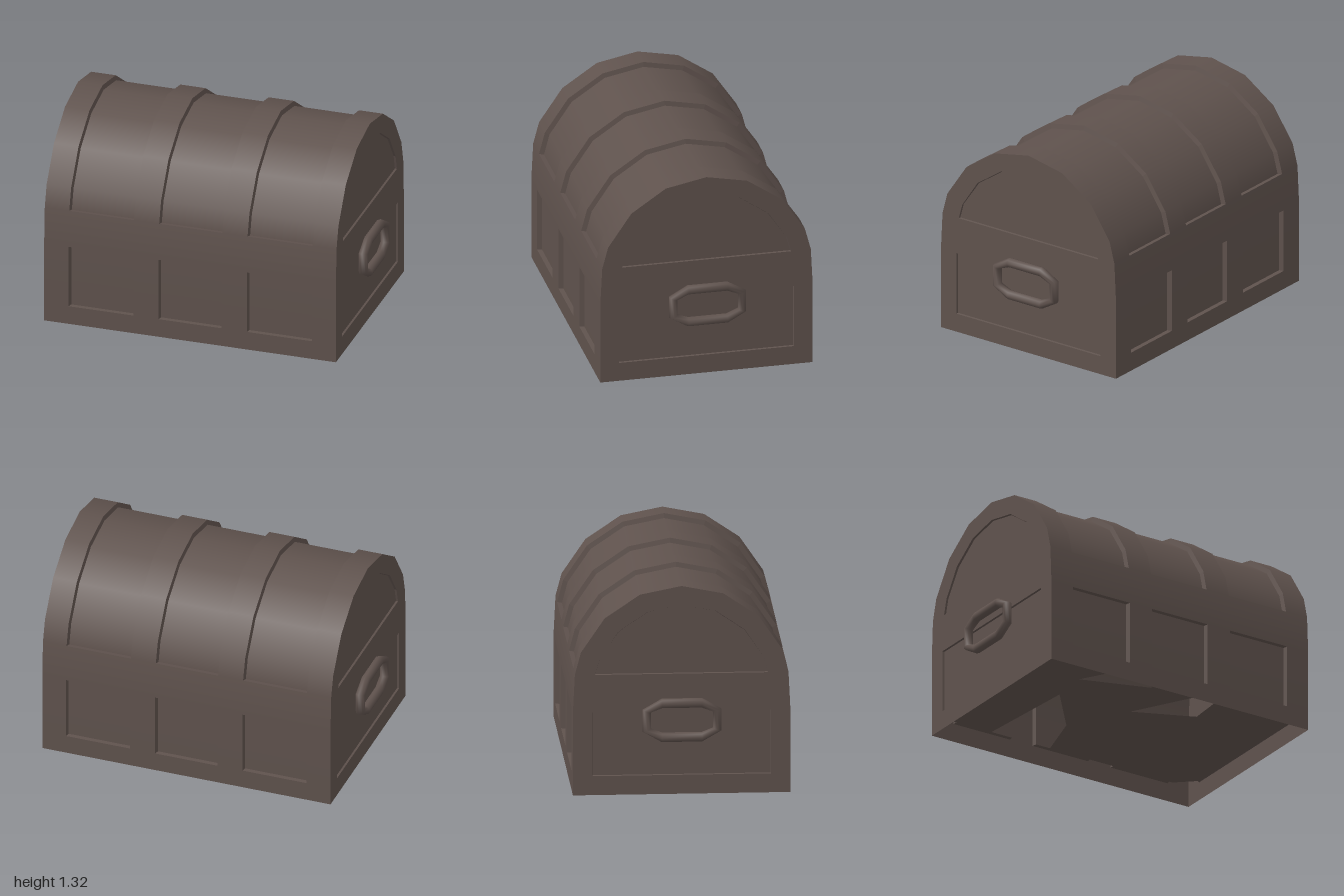
import * as THREE from 'three';

const RIGHT = -0.945, LEFT = 0.937; // x of the two end walls
const DEPTH = 0.03;      // depth of the long-side panels
const END_DEPTH = 0.012; // depth of the end-wall panels
const SLANT = 0.007;     // slant of the long-side recess walls
const END_SLANT = 0.003; // slant of the end-wall recess walls

// Cross-section [z, y] from the front foot over the lid to the back foot
const half = [[0.668, 0], [0.668, 0.12], [0.668, 0.525], [0.656, 0.765],
  [0.619, 0.905], [0.473, 1.12], [0.256, 1.267]];
const profile = [...half, [0, 1.318], ...half.map(([z, y]) => [-z, y]).reverse()];

// Outward normal [z, y] at each profile point
const normals = profile.map((p, i) => {
  let nz = 0, ny = 0;
  for (const j of [i - 1, i]) {
    if (j < 0 || j + 1 >= profile.length) continue;
    const dz = profile[j + 1][0] - profile[j][0], dy = profile[j + 1][1] - profile[j][1];
    const l = Math.hypot(dz, dy);
    nz += dy / l;
    ny -= dz / l;
  }
  const l = Math.hypot(nz, ny);
  return [nz / l, ny / l];
});

function buildGeometry(positions, index, norms) {
  const g = new THREE.BufferGeometry();
  g.setAttribute('position', new THREE.Float32BufferAttribute(positions, 3));
  g.setIndex(index);
  if (norms) g.setAttribute('normal', new THREE.Float32BufferAttribute(norms, 3));
  else g.computeVertexNormals();
  return g;
}

// Smooth strip following profile points i0..i1 between x0 and x1, sunk by d
function skin(i0, i1, x0, x1, d = 0) {
  const pos = [], nor = [], idx = [];
  for (let i = i0; i <= i1; i++) {
    const [nz, ny] = normals[i];
    for (const x of [x0, x1]) {
      pos.push(x, profile[i][1] - ny * d, profile[i][0] - nz * d);
      nor.push(0, ny, nz);
    }
    if (i < i1) {
      const a = (i - i0) * 2;
      idx.push(a, a + 1, a + 3, a, a + 3, a + 2);
    }
  }
  return buildGeometry(pos, idx, nor);
}

// Flat-shaded walls joining a closed outer loop to a sunken inner loop
function recessWalls(outer, inner) {
  const pos = [], idx = [];
  outer.forEach((a, i) => {
    const j = (i + 1) % outer.length, k = pos.length / 3;
    pos.push(...a, ...outer[j], ...inner[j], ...inner[i]);
    idx.push(k, k + 1, k + 2, k, k + 2, k + 3);
  });
  return buildGeometry(pos, idx);
}

// Counter-clockwise loop around a panel lying on the profile
function panelLoop(i0, i1, x0, x1, d) {
  const side = x => profile.slice(i0, i1 + 1).map(([z, y], k) => {
    const [nz, ny] = normals[i0 + k];
    return [x, y - ny * d, z - nz * d];
  });
  return [...side(x1), ...side(x0).reverse()];
}

const toShape = pts => new THREE.Shape(pts.map(([x, y]) => new THREE.Vector2(x, y)));

export function createModel() {
  const model = new THREE.Group();
  model.name = 'chest';
  const wood = new THREE.MeshStandardMaterial({ color: 0x5f524d, side: THREE.DoubleSide });
  wood.name = 'dark brown wood';
  const add = (parent, name, geometry) => {
    const mesh = new THREE.Mesh(geometry, wood);
    mesh.name = name;
    parent.add(mesh);
    return mesh;
  };

  // Raised bands running up the front, over the lid and down the back
  const bands = [[RIGHT, -0.787], [-0.37, -0.207], [0.2, 0.363], [0.783, LEFT]];
  const last = profile.length - 1;
  bands.forEach(([a, b]) => add(model, 'band', skin(0, last, a, b)));

  // Rails and recessed panels between the bands
  for (let k = 0; k < 3; k++) {
    const x0 = bands[k][1], x1 = bands[k + 1][0];
    for (const [a, b] of [[0, 1], [2, 3], [11, 12], [13, 14]]) add(model, 'rail', skin(a, b, x0, x1));
    for (const [name, a, b] of [['frontPanel', 1, 2], ['lidPanel', 3, 11], ['backPanel', 12, 13]]) {
      add(model, name, skin(a, b, x0 + SLANT, x1 - SLANT, DEPTH));
      add(model, name + 'Recess', recessWalls(
        panelLoop(a, b, x0, x1, 0), panelLoop(a, b, x0 + SLANT, x1 - SLANT, DEPTH)));
    }
  }

  // End walls, each with a rectangular and an arched recess
  const square = [[-0.55, 0.12], [0.55, 0.12], [0.55, 0.525], [-0.55, 0.525]];
  const archSide = [[0.532, 0.762], [0.505, 0.86], [0.388, 1.035], [0.21, 1.157]];
  const arch = [...archSide, [0, 1.198], ...archSide.map(([x, y]) => [-x, y]).reverse()];
  const shrink = (pts, cy) => pts.map(([x, y]) =>
    [x - Math.sign(x) * END_SLANT, y - Math.sign(y - cy) * END_SLANT]);

  // Handle outline: matching inner and outer corners
  const ringPoints = (w, h, cw, ch) => [[w, -h], [w, h], [cw, ch], [-cw, ch],
    [-w, h], [-w, -h], [-cw, -ch], [cw, -ch]];
  const ringOuter = ringPoints(0.242, 0.07, 0.124, 0.138);
  const ringInner = ringPoints(0.19, 0.05, 0.122, 0.077);

  function handleGeometry() {
    const pos = [], idx = [], n = 8, m = 8;
    for (let i = 0; i < n; i++) {
      for (let j = 0; j < m; j++) {
        const t = j / m * Math.PI * 2, c = 0.5 + Math.cos(t) / 2;
        const [ox, oy] = ringOuter[i], [ix, iy] = ringInner[i];
        pos.push(ix + (ox - ix) * c, 0.475 + iy + (oy - iy) * c, 0.028 + 0.03 * Math.sin(t));
        const i2 = (i + 1) % n, j2 = (j + 1) % m;
        const a = i * m + j, b = i2 * m + j, e = i2 * m + j2, d = i * m + j2;
        idx.push(a, b, e, a, e, d);
      }
    }
    return buildGeometry(pos, idx);
  }

  for (const [name, x, turn] of [['leftEnd', LEFT, 1], ['rightEnd', RIGHT, -1]]) {
    const end = new THREE.Group();
    end.name = name;
    end.rotation.y = turn * Math.PI / 2;
    end.position.x = x;
    const frame = toShape(profile);
    frame.holes.push(toShape(square), toShape(arch));
    add(end, 'endFrame', new THREE.ShapeGeometry(frame));
    for (const [panel, pts, cy] of [['endPanel', square, 0.32], ['archPanel', arch, 0.9]]) {
      const inner = shrink(pts, cy);
      add(end, panel, new THREE.ShapeGeometry(toShape(inner))).position.z = -END_DEPTH;
      add(end, panel + 'Recess', recessWalls(
        pts.map(([u, v]) => [u, v, 0]), inner.map(([u, v]) => [u, v, -END_DEPTH])));
    }
    add(end, 'handle', handleGeometry());
    model.add(end);
  }

  // Raised, broken floor [x, z] with cut corners, notches and a gap at the back
  const floorShape = toShape([
    [-0.8, 0.638], [-0.3, 0.638], [-0.5, 0.3], [-0.06, 0.44], [-0.2, 0.638],
    [0.33, 0.638], [0.02, 0.08], [0.4, 0.24], [0.37, 0.638], [0.8, 0.638],
    [0.922, 0.53], [0.922, -0.53], [0.8, -0.638], [-0.1, -0.638], [-0.2, -0.3],
    [-0.48, 0.05], [-0.53, -0.638], [-0.8, -0.638], [-0.93, -0.53], [-0.93, 0.53]]);
  const floor = new THREE.ShapeGeometry(floorShape);
  floor.rotateX(Math.PI / 2);
  add(model, 'floor', floor).position.y = 0.118;

  return model;
}
